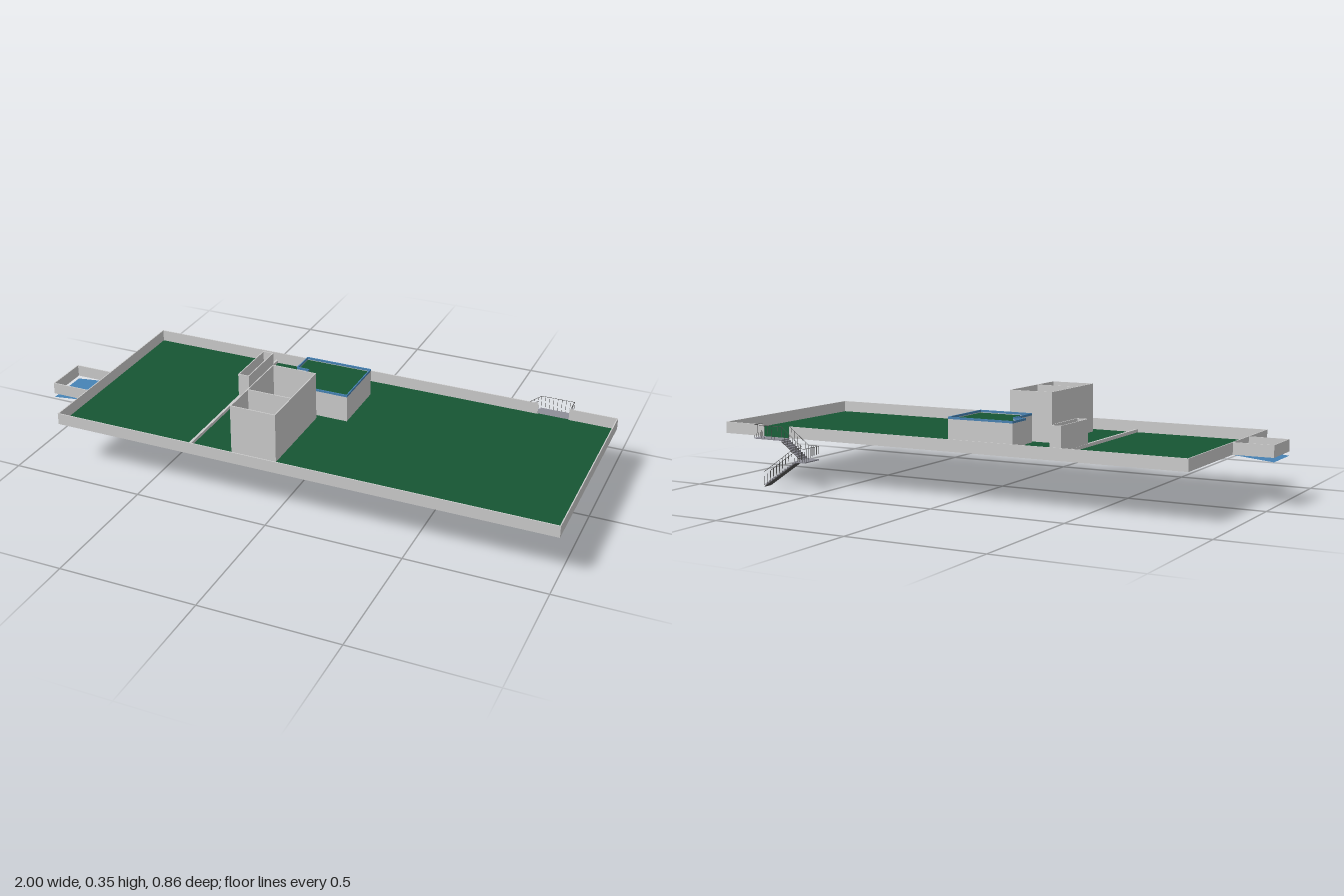
import * as THREE from 'three';

const mat = (color) => new THREE.MeshStandardMaterial({ color, side: THREE.DoubleSide });

export function createModel() {
  const model = new THREE.Group();
  const grey = mat(0xcccccc), green = mat(0x165533), blue = mat(0x4682b4);
  const steel = mat(0x8e8e98), dark = mat(0x555555);
  const FLOOR = 0.167, PARAPET = 0.21, T = 0.004;

  const add = (parent, name, geometry, material) => {
    const mesh = new THREE.Mesh(geometry, material);
    mesh.name = name;
    parent.add(mesh);
    return mesh;
  };
  const group = (name) => {
    const g = new THREE.Group();
    g.name = name;
    model.add(g);
    return g;
  };
  // Box given by its minimum and maximum corners
  const box = (parent, name, a, b, material = grey) => {
    const g = new THREE.BoxGeometry(b[0] - a[0], b[1] - a[1], b[2] - a[2]);
    g.translate((a[0] + b[0]) / 2, (a[1] + b[1]) / 2, (a[2] + b[2]) / 2);
    return add(parent, name, g, material);
  };
  // Axis-aligned thin walls along a plan path of [x, z] points
  const walls = (parent, name, path, y0, y1, material = grey) => {
    for (let i = 0; i + 1 < path.length; i++) {
      const [p, q] = [path[i], path[i + 1]];
      box(parent, name,
        [Math.min(p[0], q[0]) - T / 2, y0, Math.min(p[1], q[1]) - T / 2],
        [Math.max(p[0], q[0]) + T / 2, y1, Math.max(p[1], q[1]) + T / 2], material);
    }
  };
  // Horizontal sheet from a plan outline
  const sheet = (parent, name, outline, y, material, hole) => {
    const vec = (pts) => pts.map(([x, z]) => new THREE.Vector2(x, -z));
    const shape = new THREE.Shape(vec(outline));
    if (hole) shape.holes.push(new THREE.Path(vec(hole)));
    add(parent, name, new THREE.ShapeGeometry(shape).rotateX(-Math.PI / 2).translate(0, y, 0), material);
  };
  const rect = (x0, x1, z0, z1) => [[x0, z0], [x1, z0], [x1, z1], [x0, z1]];
  const closed = (pts) => [...pts, pts[0]];
  // Thin bar between two points
  const bar = (parent, name, a, b, r = 0.0006) => {
    const p = new THREE.Vector3(...a), q = new THREE.Vector3(...b);
    add(parent, name, new THREE.TubeGeometry(new THREE.LineCurve3(p, q), 1, r, 4), dark);
  };

  // Roof deck with the stairwell opening
  const deck = group('deck');
  sheet(deck, 'floor', rect(-0.855, 1, -0.34, 0.43), FLOOR, green, rect(-0.345, -0.309, -0.143, -0.014));

  // Parapet, open where the outside stairs arrive
  const e = T / 2;
  walls(deck, 'parapet', [[0.705, -0.34 + e], [-0.855 + e, -0.34 + e], [-0.855 + e, 0.43 - e],
    [1 - e, 0.43 - e], [1 - e, -0.34 + e], [0.825, -0.34 + e]], FLOOR, PARAPET);
  box(deck, 'dividingCurb', [-0.35, FLOOR, -0.338], [-0.341, FLOOR + 0.012, 0.428]);

  // Stairwell enclosure
  walls(group('stairwell'), 'stairwellWall', closed(rect(-0.347, -0.307, -0.22, -0.012)), FLOOR, 0.267);

  // Tall open-topped block with two bays
  const tower = group('towerBlock');
  walls(tower, 'towerWall', closed(rect(-0.19, -0.023, 0.02, 0.36)), FLOOR, 0.35);
  walls(tower, 'towerPartition', [[-0.19, 0.228], [-0.023, 0.228]], FLOOR, 0.35);

  // L-shaped room with green roof and blue rim
  const room = group('roofRoom');
  const plan = [[-0.167, -0.232], [0.088, -0.232], [0.088, -0.006], [-0.122, -0.006], [-0.122, -0.14], [-0.167, -0.14]];
  walls(room, 'roomWall', closed(plan), FLOOR, 0.265);
  walls(room, 'roomRim', closed(plan), 0.265, 0.273, blue);
  sheet(room, 'roomRoof', plan, 0.263, green);

  // Side balcony with a sloping blue floor
  const balcony = group('balcony');
  walls(balcony, 'balconyWall', [[-0.855, 0.067 + e], [-1 + e, 0.067 + e], [-1 + e, 0.233 - e], [-0.855, 0.233 - e]], FLOOR, PARAPET);
  const slope = new THREE.PlaneGeometry(0.145, 0.166).rotateX(-Math.PI / 2).translate(-0.9275, FLOOR, 0.15);
  const pos = slope.attributes.position;
  for (let i = 0; i < pos.count; i++) if (pos.getX(i) < -0.9) pos.setY(i, 0.152);
  slope.computeVertexNormals();
  add(balcony, 'balconyFloor', slope, blue);

  // Outside stairs: top platform, two flights and a landing
  const stairs = group('outsideStairs');
  box(stairs, 'topPlatform', [0.705, 0.163, -0.388], [0.828, FLOOR, -0.34], steel);
  box(stairs, 'landing', [0.57, 0.096, -0.43], [0.615, 0.1, -0.345], steel);

  const flight = (xTop, yTop, xLow, yLow, z0, z1, steps) => {
    const dx = (xLow - xTop) / steps, dy = (yTop - yLow) / steps;
    for (let i = 0; i < steps; i++) {
      const xa = xTop + dx * i, xb = xa + dx, y = yTop - dy * (i + 1);
      box(stairs, 'tread', [Math.min(xa, xb), y, z0], [Math.max(xa, xb), y + 0.0015, z1], steel);
      box(stairs, 'riser', [xa - 0.0005, y, z0], [xa + 0.0005, y + dy, z1], steel);
    }
    // Sloping underside
    const len = Math.hypot(xLow - xTop, yTop - yLow);
    const soffit = add(stairs, 'soffit', new THREE.BoxGeometry(len, 0.002, z1 - z0), dark);
    soffit.position.set((xTop + xLow) / 2, (yTop + yLow) / 2 - dy, (z0 + z1) / 2);
    soffit.rotation.z = Math.atan2(yLow - yTop, xLow - xTop);
  };
  flight(0.705, FLOOR, 0.615, 0.1, -0.388, -0.345, 10);
  flight(0.615, 0.1, 0.755, 0.005, -0.43, -0.391, 12);

  // Railings: a handrail on evenly spaced posts
  const railing = (a, b, posts) => {
    const h = 0.048;
    const up = ([x, y, z]) => [x, y + h, z];
    bar(stairs, 'handrail', up(a), up(b), 0.0009);
    for (let i = 0; i <= posts; i++) {
      const p = a.map((v, k) => v + (b[k] - v) * i / posts);
      bar(stairs, 'railPost', p, up(p));
    }
  };
  railing([0.705, FLOOR, -0.388], [0.828, FLOOR, -0.388], 8);
  railing([0.828, FLOOR, -0.388], [0.828, FLOOR, -0.341], 4);
  for (const z of [-0.388, -0.345]) railing([0.705, FLOOR, z], [0.615, 0.1, z], 7);
  for (const z of [-0.43, -0.391]) railing([0.615, 0.1, z], [0.755, 0.003, z], 10);
  railing([0.57, 0.1, -0.43], [0.57, 0.1, -0.345], 7);
  railing([0.57, 0.1, -0.43], [0.615, 0.1, -0.43], 4);
  railing([0.57, 0.1, -0.345], [0.615, 0.1, -0.345], 4);

  return model;
}
